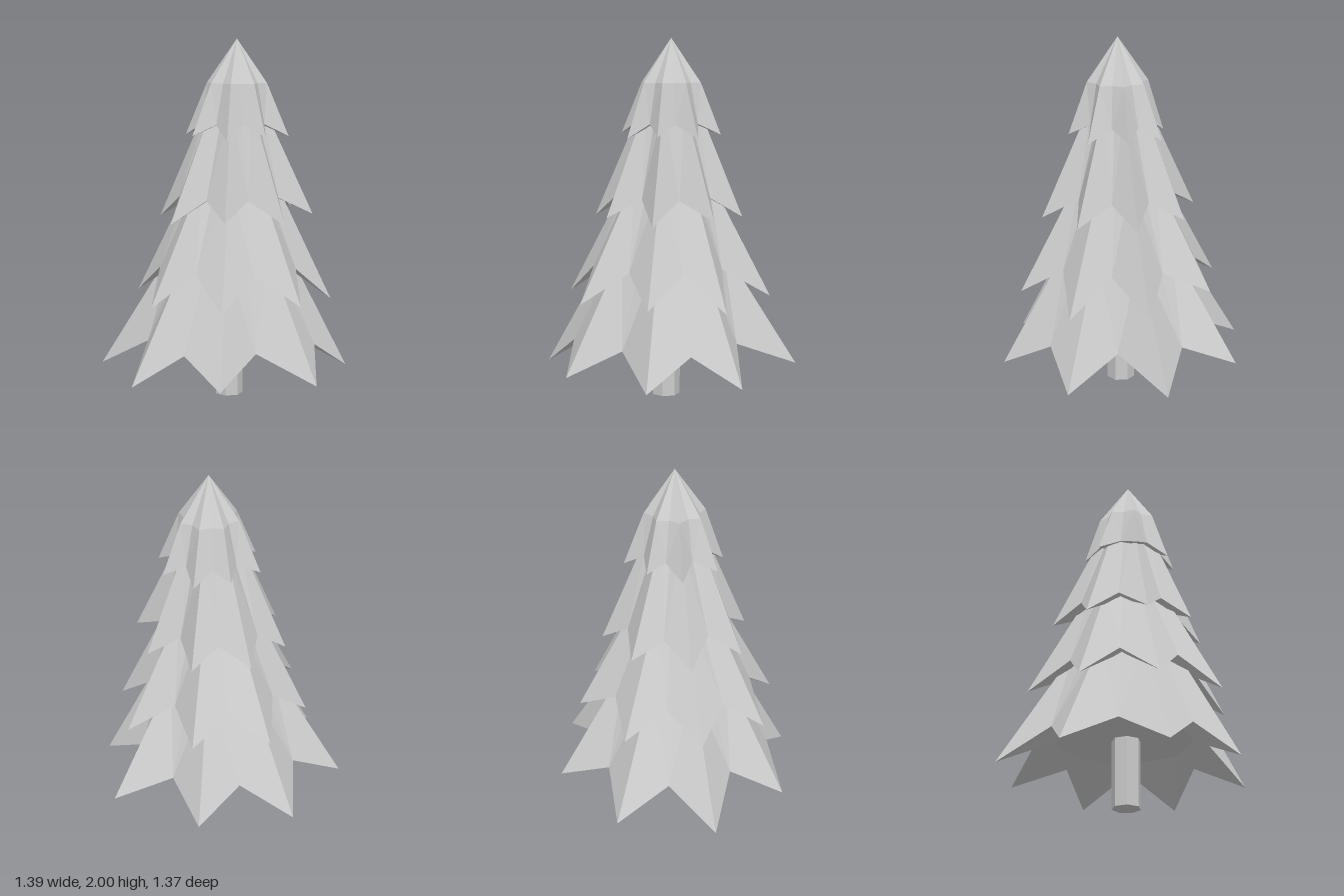
import * as THREE from 'three';

const grey = new THREE.MeshStandardMaterial({ color: 0xcccccc });
grey.name = 'light grey';

const TIPS = 8;

// Faceted skin over a list of closed rings, running from underside to top
function loft(rings) {
  const pos = [];
  const tri = (a, b, c) => {
    const area = new THREE.Vector3().crossVectors(b.clone().sub(a), c.clone().sub(a)).length();
    if (area > 1e-6) pos.push(...a.toArray(), ...b.toArray(), ...c.toArray());
  };
  for (let r = 0; r < rings.length - 1; r++) {
    const lo = rings[r], hi = rings[r + 1], n = lo.length;
    for (let i = 0; i < n; i++) {
      const j = (i + 1) % n;
      if (i % 2 === 0) { // diagonals mirror about each branch tip
        tri(lo[i], hi[i], lo[j]);
        tri(lo[j], hi[i], hi[j]);
      } else {
        tri(lo[i], hi[j], lo[j]);
        tri(lo[i], hi[i], hi[j]);
      }
    }
  }
  const g = new THREE.BufferGeometry();
  g.setAttribute('position', new THREE.Float32BufferAttribute(pos, 3));
  g.computeVertexNormals();
  return g;
}

// One star-edged skirt: eight long tips with a valley after each, twisted about its axis.
// Lists run from the back round by the model's left (+x).
function makeTier(name, { twist, rim, tipR, tipY, valleyR, valleyY, inner, top, upper }) {
  // Ring around centre (cx, cz); radius and height are functions of the point's index
  const ring = ([cx, cz], radius, height) => Array.from({ length: TIPS * 2 }, (_, i) => {
    const a = (i * Math.PI) / TIPS + THREE.MathUtils.degToRad(twist);
    return new THREE.Vector3(cx + radius(i) * Math.sin(a), height(i), cz - radius(i) * Math.cos(a));
  });
  const level = (centre, y, tip, valley) => ring(centre, (i) => (i % 2 ? valley : tip), () => y);

  const mesh = new THREE.Mesh(loft([
    level(rim, inner.y, 0, 0),
    level(rim, inner.y, inner.tip, inner.valley),
    ring(
      rim,
      (i) => (i % 2 ? valleyR[(i - 1) / 2] : tipR[i / 2]),
      (i) => (i % 2 ? valleyY : tipY[i / 2]),
    ),
    level(top, upper.y, upper.tip, upper.valley),
    level(top, upper.peak, 0, 0),
  ]), grey);
  mesh.name = name;
  return mesh;
}

export function createModel() {
  const tree = new THREE.Group();
  tree.name = 'tree';

  // Seven-sided trunk
  const trunkShape = new THREE.CylinderGeometry(0.08, 0.08, 0.42, 7, 1, false, 1.62).toNonIndexed();
  trunkShape.computeVertexNormals();
  const trunk = new THREE.Mesh(trunkShape, grey);
  trunk.name = 'trunk';
  trunk.position.set(0.027, 0.21, 0.02);
  tree.add(trunk);

  // Four nested skirts, leaning towards +x and twisting as they rise
  tree.add(
    makeTier('lowestBranches', {
      twist: 0, rim: [0.02, 0.01],
      tipR: [0.7, 0.73, 0.67, 0.707, 0.67, 0.687, 0.72, 0.707],
      tipY: [0.215, 0.2, 0.17, 0.19, 0.195, 0.16, 0.16, 0.18],
      valleyR: [0.49, 0.45, 0.53, 0.46, 0.53, 0.47, 0.5, 0.5], valleyY: 0.34,
      inner: { tip: 0.36, valley: 0.38, y: 0.38 },
      top: [0.035, 0.015], upper: { y: 0.85, tip: 0.31, valley: 0.28, peak: 0.9 },
    }),
    makeTier('lowerMiddleBranches', {
      twist: 2.5, rim: [0.05, 0.02],
      tipR: [0.57, 0.573, 0.55, 0.567, 0.57, 0.567, 0.54, 0.567],
      tipY: [0.64, 0.59, 0.56, 0.6, 0.585, 0.575, 0.59, 0.61],
      valleyR: [0.38, 0.35, 0.39, 0.38, 0.42, 0.42, 0.4, 0.43], valleyY: 0.755,
      inner: { tip: 0.3, valley: 0.3, y: 0.78 },
      top: [0.05, 0.015], upper: { y: 1.25, tip: 0.22, valley: 0.19, peak: 1.3 },
    }),
    makeTier('upperMiddleBranches', {
      twist: 5, rim: [0.065, 0.01],
      tipR: [0.41, 0.4, 0.43, 0.435, 0.41, 0.44, 0.43, 0.43],
      tipY: [1.04, 1.03, 1.04, 1.02, 1.04, 1.01, 1.01, 1.04],
      valleyR: [0.27, 0.26, 0.27, 0.27, 0.31, 0.32, 0.32, 0.31], valleyY: 1.14,
      inner: { tip: 0.2, valley: 0.2, y: 1.16 },
      top: [0.06, 0.015], upper: { y: 1.65, tip: 0.15, valley: 0.12, peak: 1.7 },
    }),
    makeTier('topBranches', {
      twist: 8, rim: [0.07, 0.01],
      tipR: [0.277, 0.277, 0.29, 0.275, 0.275, 0.29, 0.29, 0.25],
      tipY: [1.47, 1.48, 1.47, 1.48, 1.46, 1.48, 1.47, 1.48],
      valleyR: [0.19, 0.18, 0.18, 0.19, 0.2, 0.19, 0.19, 0.19], valleyY: 1.54,
      inner: { tip: 0.12, valley: 0.12, y: 1.55 },
      top: [0.07, 0.015], upper: { y: 1.76, tip: 0.168, valley: 0.135, peak: 2 },
    }),
  );
  return tree;
}
